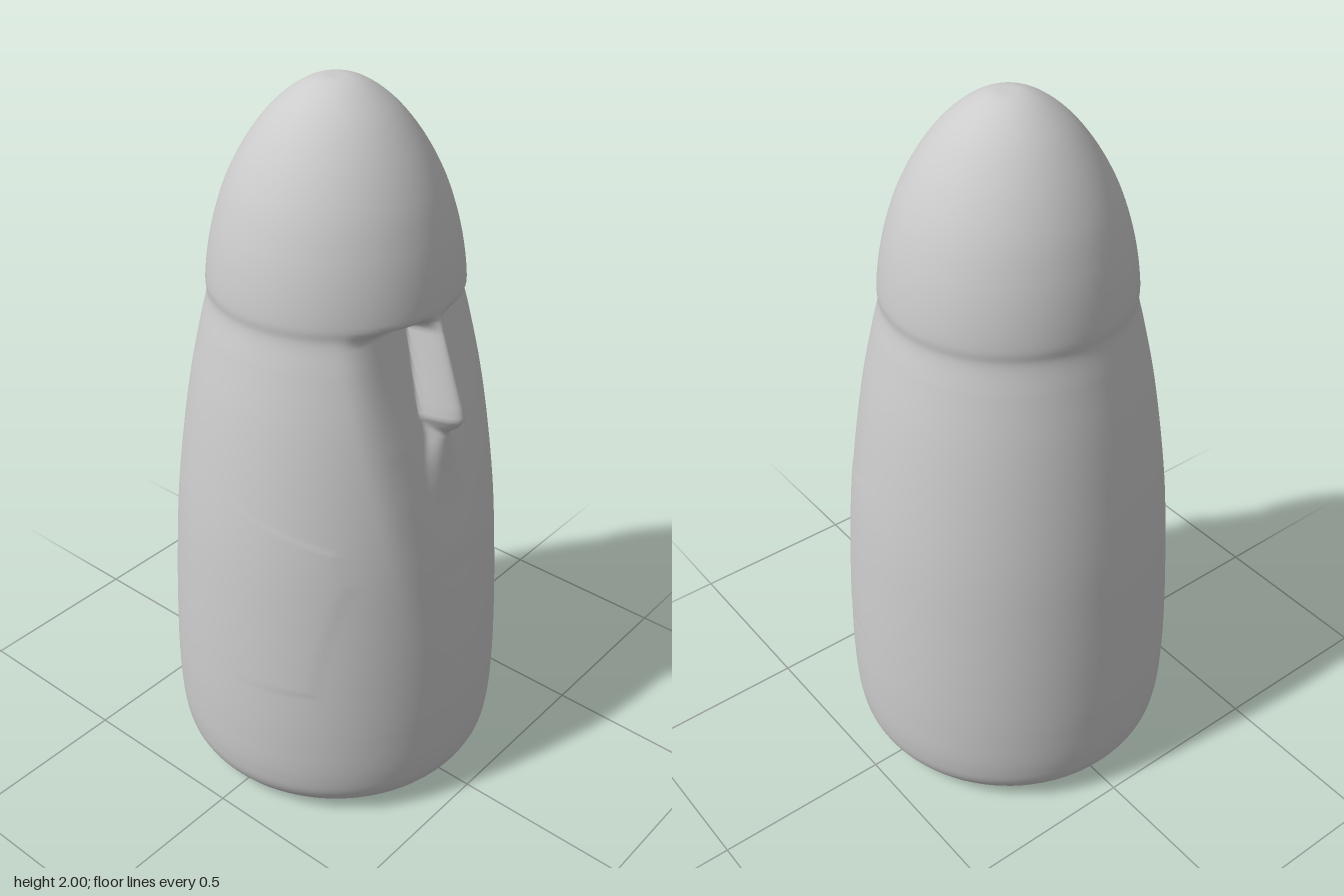
import * as THREE from 'three';
import { mergeVertices } from 'three/addons/utils/BufferGeometryUtils.js';

// linear interpolation through [y, value] pairs, y rising
function table(rows, y) {
  if (y <= rows[0][0]) return rows[0][1];
  for (let i = 1; i < rows.length; i++) {
    const [y0, v0] = rows[i - 1], [y1, v1] = rows[i];
    if (y <= y1) return v0 + (v1 - v0) * (y - y0) / (y1 - y0);
  }
  return rows[rows.length - 1][1];
}

// smooth minimum / maximum with blend width k
function softMin(a, b, k) {
  const h = Math.max(k - Math.abs(a - b), 0) / k;
  return Math.min(a, b) - h * h * k / 4;
}
const softMax = (a, b, k) => -softMin(-a, -b, k);

// body outline as [radius, height]
const PROFILE = [
  [0, 0], [0.2, 0.005], [0.37, 0.015], [0.41, 0.03], [0.443, 0.075], [0.457, 0.14],
  [0.463, 0.28], [0.46, 0.45], [0.45, 0.65], [0.435, 0.85], [0.41, 1.05], [0.382, 1.22],
  [0.352, 1.36], [0.332, 1.45], [0.334, 1.48], [0.325, 1.56], [0.305, 1.65], [0.27, 1.75],
  [0.215, 1.85], [0.15, 1.93], [0.085, 1.98], [0.04, 1.998], [0, 2],
];

// depth of the flattened face, and the nose crest and half width, by height
const FACE = [[0.45, 0.49], [0.8, 0.425], [1, 0.38], [1.15, 0.34], [1.3, 0.295], [1.44, 0.255]];
const NOSE = [[1.1, 0.3], [1.14, 0.36], [1.175, 0.405], [1.2, 0.421], [1.23, 0.415], [1.47, 0.333]];
const NOSE_WIDTH = [[1.15, 0.03], [1.2, 0.045], [1.43, 0.027], [1.46, 0.05]];
// soft ridge fanning out below the nose
const LIP = [[0.8, 0.42], [0.95, 0.39], [1.05, 0.38], [1.14, 0.373], [1.2, 0.35]];
const LIP_WIDTH = [[0.9, 0.16], [1.14, 0.045]];

// carve the face into the front of the body
function sculptFace(x, y, z) {
  if (z <= 0 || y < 0.45 || y > 1.475) return z;
  let face = softMin(z, table(FACE, y), 0.04);
  const lip = table(LIP, y) - 0.03 * (x / table(LIP_WIDTH, y)) ** 2;
  if (y < 1.2) face = softMax(face, Math.min(lip, z), 0.012);
  const nose = table(NOSE, y) - 0.07 * (x / table(NOSE_WIDTH, y)) ** 2;
  if (y > 1.1) face = softMax(face, nose, 0.015);
  // overhanging brow
  const brow = THREE.MathUtils.smoothstep(y, 1.44, 1.475);
  return THREE.MathUtils.lerp(face, z, brow);
}

export function createModel() {
  const curve = new THREE.CatmullRomCurve3(
    PROFILE.map(([r, y]) => new THREE.Vector3(r, y, 0)), false, 'centripetal');
  const outline = curve.getSpacedPoints(260).map(p => new THREE.Vector2(Math.max(p.x, 0), p.y));
  const lathe = new THREE.LatheGeometry(outline, 160, -Math.PI, Math.PI * 2);

  const pos = lathe.attributes.position;
  const rows = outline.length;
  for (let i = 0; i < pos.count; i++) {
    // columns crowd together towards the front, where the face is
    const t = Math.floor(i / rows) / 80 - 1;
    const angle = Math.PI * t * (0.4 + 0.6 * t * t);
    const { x: r, y } = outline[i % rows];
    const x = r * Math.sin(angle);
    pos.setXYZ(i, x, y, sculptFace(x, y, r * Math.cos(angle)));
  }

  // weld the seam so the shading is smooth all round
  lathe.deleteAttribute('normal');
  lathe.deleteAttribute('uv');
  const geometry = mergeVertices(lathe, 1e-5);
  geometry.computeVertexNormals();

  const statue = new THREE.Mesh(geometry, new THREE.MeshStandardMaterial({ color: 0xcccccc }));
  statue.name = 'carvedStoneBody';
  const group = new THREE.Group();
  group.name = 'stoneHeadStatue';
  group.add(statue);
  return group;
}
